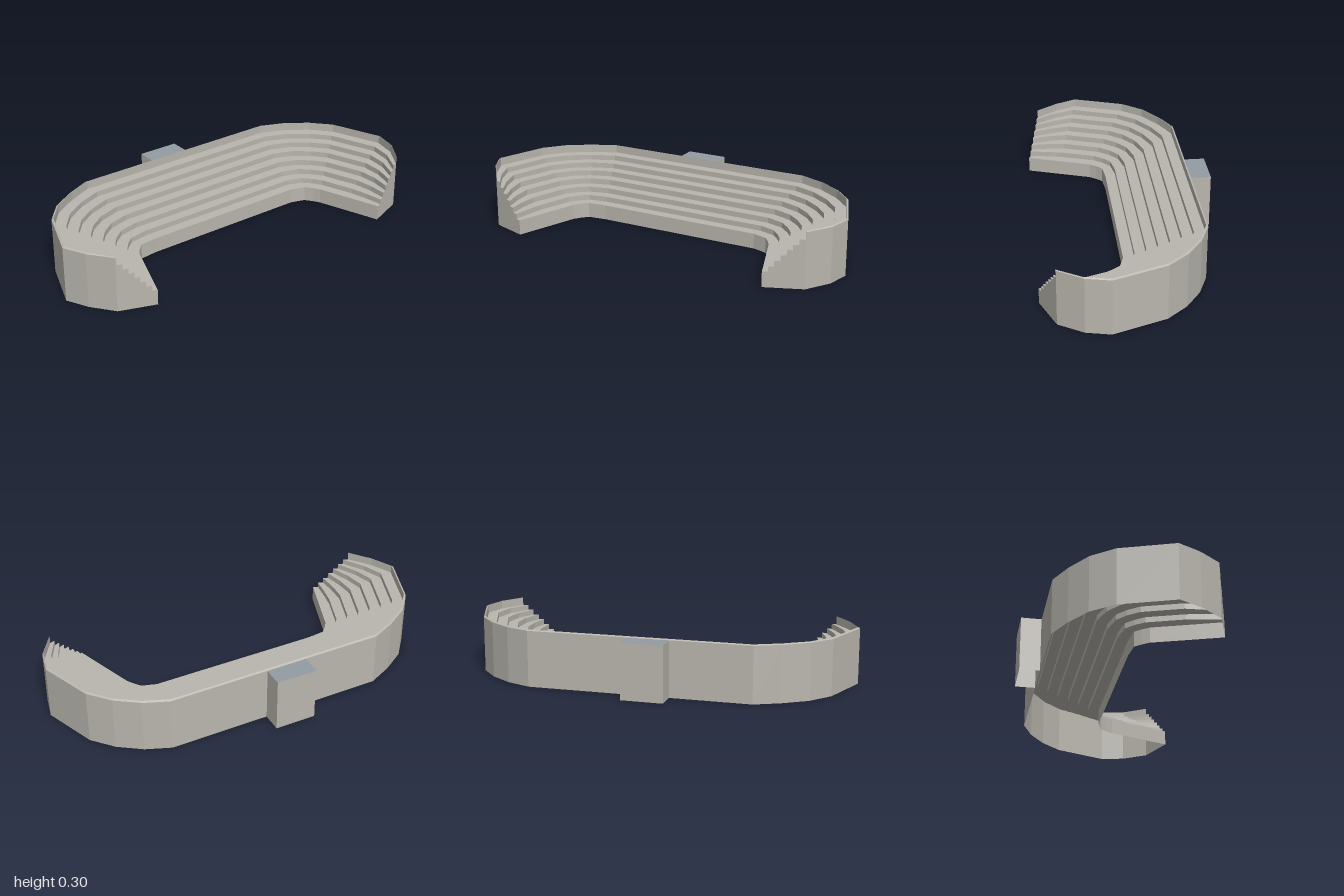
import * as THREE from 'three';

const concrete = new THREE.MeshStandardMaterial({ color: 0xb9b6ae, flatShading: true, side: THREE.DoubleSide });
concrete.name = 'concrete';
const roofGrey = new THREE.MeshStandardMaterial({ color: 0x929ba4, flatShading: true, side: THREE.DoubleSide });
roofGrey.name = 'roof grey';

// Plan stations from the left-hand end to the right-hand end: [innerX, innerZ, outerX, outerZ]
const stations = [
  [-0.605, 0.545, -0.803, 0.526],
  [-0.596, 0.455, -0.917, 0.435],
  [-0.587, 0.365, -1.0, 0.337],
  [-0.57, 0.187, -0.97, 0.05],
  [-0.552, 0.145, -0.907, -0.08],
  [-0.53, 0.108, -0.805, -0.187],
  [-0.436, 0.075, -0.693, -0.276],
  [0.436, -0.137, 0.436, -0.553],
  [0.516, -0.132, 0.575, -0.533],
  [0.552, -0.103, 0.709, -0.481],
  [0.582, -0.073, 0.826, -0.401],
  [0.675, 0.07, 0.992, -0.16],
  [0.725, 0.147, 0.994, -0.032],
  [0.775, 0.225, 0.945, 0.107],
];

// Stepped cross-section: x = fraction from inner to outer edge, y = height
const treads = [0.081, 0.109, 0.138, 0.168, 0.197, 0.225, 0.253];
const rowWidth = 0.975 / treads.length;
const section = [new THREE.Vector2(0, 0)];
treads.forEach((y, i) => {
  section.push(new THREE.Vector2(i * rowWidth, y), new THREE.Vector2((i + 1) * rowWidth, y));
});
section.push(new THREE.Vector2(0.975, 0.297), new THREE.Vector2(1, 0.292), new THREE.Vector2(1, 0));

function place([ix, iz, ox, oz], p) {
  return [ix + (ox - ix) * p.x, p.y, iz + (oz - iz) * p.x];
}

function meshFrom(name, points, material) {
  const geometry = new THREE.BufferGeometry();
  geometry.setAttribute('position', new THREE.Float32BufferAttribute(points.flat(), 3));
  geometry.computeVertexNormals();
  const mesh = new THREE.Mesh(geometry, material);
  mesh.name = name;
  return mesh;
}

// Sweep part of the section along the stations
function sweep(name, from, to) {
  const points = [];
  for (let i = 0; i < stations.length - 1; i++) {
    for (let j = from; j < to; j++) {
      const a = place(stations[i], section[j]);
      const b = place(stations[i + 1], section[j]);
      const c = place(stations[i + 1], section[j + 1]);
      const d = place(stations[i], section[j + 1]);
      points.push(a, b, c, a, c, d);
    }
  }
  return meshFrom(name, points, concrete);
}

// Stepped wall closing one end of the stand
function endWall(name, station, flip) {
  const points = [];
  for (const [a, b, c] of THREE.ShapeUtils.triangulateShape(section, [])) {
    for (const k of flip ? [a, c, b] : [a, b, c]) points.push(place(station, section[k]));
  }
  return meshFrom(name, points, concrete);
}

// Keep only the chosen sides of a box (order: +x, -x, +y, -y, +z, -z)
function boxSides(name, size, sides, material) {
  const geometry = new THREE.BoxGeometry(...size);
  const index = Array.from(geometry.index.array);
  geometry.setIndex(sides.flatMap((s) => index.slice(s * 6, s * 6 + 6)));
  geometry.clearGroups();
  const mesh = new THREE.Mesh(geometry, material);
  mesh.name = name;
  mesh.position.y = size[1] / 2;
  return mesh;
}

export function createModel() {
  const model = new THREE.Group();
  model.name = 'grandstand';

  // Terraced seating, parapet and back wall, open underneath
  const last = section.length - 1;
  model.add(sweep('seatingTerraces', 0, last - 2));
  model.add(sweep('parapet', last - 2, last - 1));
  model.add(sweep('backWall', last - 1, last));
  model.add(endWall('rightEndWall', stations[0], true));
  model.add(endWall('leftEndWall', stations[stations.length - 1], false));

  // Small block standing against the back wall
  const block = new THREE.Group();
  block.name = 'rearBlock';
  const size = [0.218, 0.29, 0.105];
  block.add(boxSides('rearBlockWalls', size, [0, 1, 4, 5], concrete));
  block.add(boxSides('rearBlockRoof', size, [2], roofGrey));
  block.position.set(-0.192, 0, -0.454);
  block.rotation.y = 0.238;
  model.add(block);

  return model;
}
